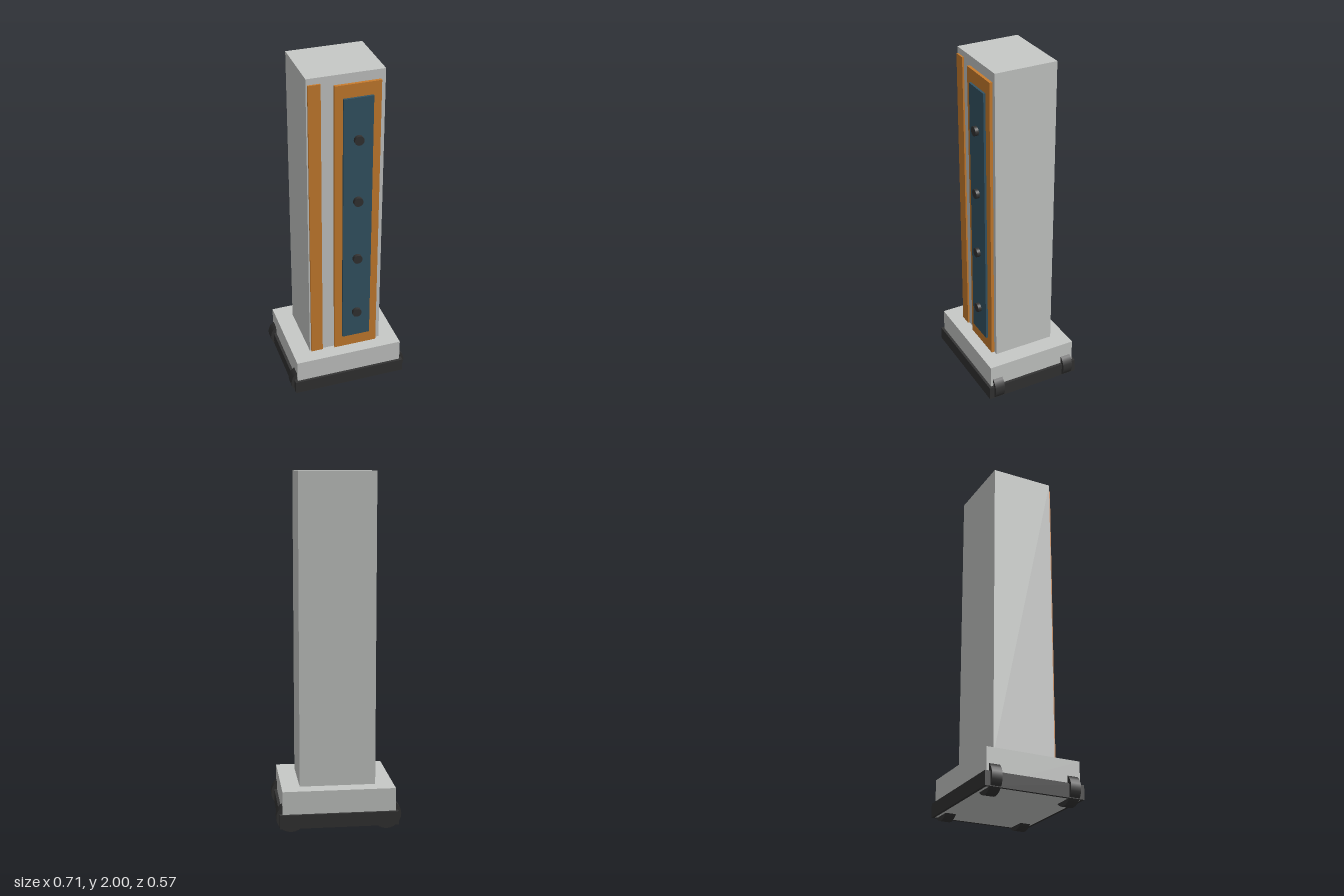
import * as THREE from 'three';

const paint = (name, color) => {
  const m = new THREE.MeshStandardMaterial({ color });
  m.name = name;
  return m;
};

export function createModel() {
  const grey = paint('light grey', 0xc7c9c7);
  const orange = paint('orange', 0xc97d2e);
  const blue = paint('slate blue', 0x345565);
  const black = paint('charcoal', 0x333333);
  const model = new THREE.Group();
  model.name = 'wheeledTower';

  // box given by its minimum and maximum on each axis
  const box = (name, mat, [x0, x1], [y0, y1], [z0, z1]) => {
    const mesh = new THREE.Mesh(new THREE.BoxGeometry(x1 - x0, y1 - y0, z1 - z0), mat);
    mesh.position.set((x0 + x1) / 2, (y0 + y1) / 2, (z0 + z1) / 2);
    mesh.name = name;
    model.add(mesh);
  };
  // cylinder lying along z
  const disc = (name, r, depth, x, y, z) => {
    const mesh = new THREE.Mesh(new THREE.CylinderGeometry(r, r, depth, 24).rotateX(Math.PI / 2), black);
    mesh.position.set(x, y, z);
    mesh.name = name;
    model.add(mesh);
  };

  // base and column
  box('base', grey, [-0.32, 0.32], [0.028, 0.239], [-0.272, 0.272]);
  box('column', grey, [-0.216, 0.216], [0.239, 2], [-0.182, 0.182]);

  // bumper rails around the base, and the four wheels
  const rail = [0.028, 0.107];
  for (const s of [-1, 1]) {
    const span = (a, b) => (s > 0 ? [a, b] : [-b, -a]);
    box('sideBumper', black, span(0.32, 0.336), rail, [-0.272, 0.272]);
    box('endBumper', black, [-0.336, 0.336], rail, span(0.272, 0.2866));
    for (const t of [-1, 1]) disc('wheel', 0.084, 0.06, s * 0.271, 0.084, t * 0.227);
  }

  // front panels
  box('accentStrip', orange, [-0.208, -0.139], [0.239, 1.965], [0.182, 0.192]);
  box('panelFrame', orange, [-0.067, 0.19], [0.239, 1.945], [0.182, 0.199]);
  box('panel', blue, [-0.022, 0.144], [0.318, 1.87], [0.199, 0.2115]);

  // row of knobs on the panel
  for (let i = 0; i < 4; i++) disc('knob', 0.027, 0.02, 0.061, 0.49 + i * 0.379, 0.2215);

  return model;
}
